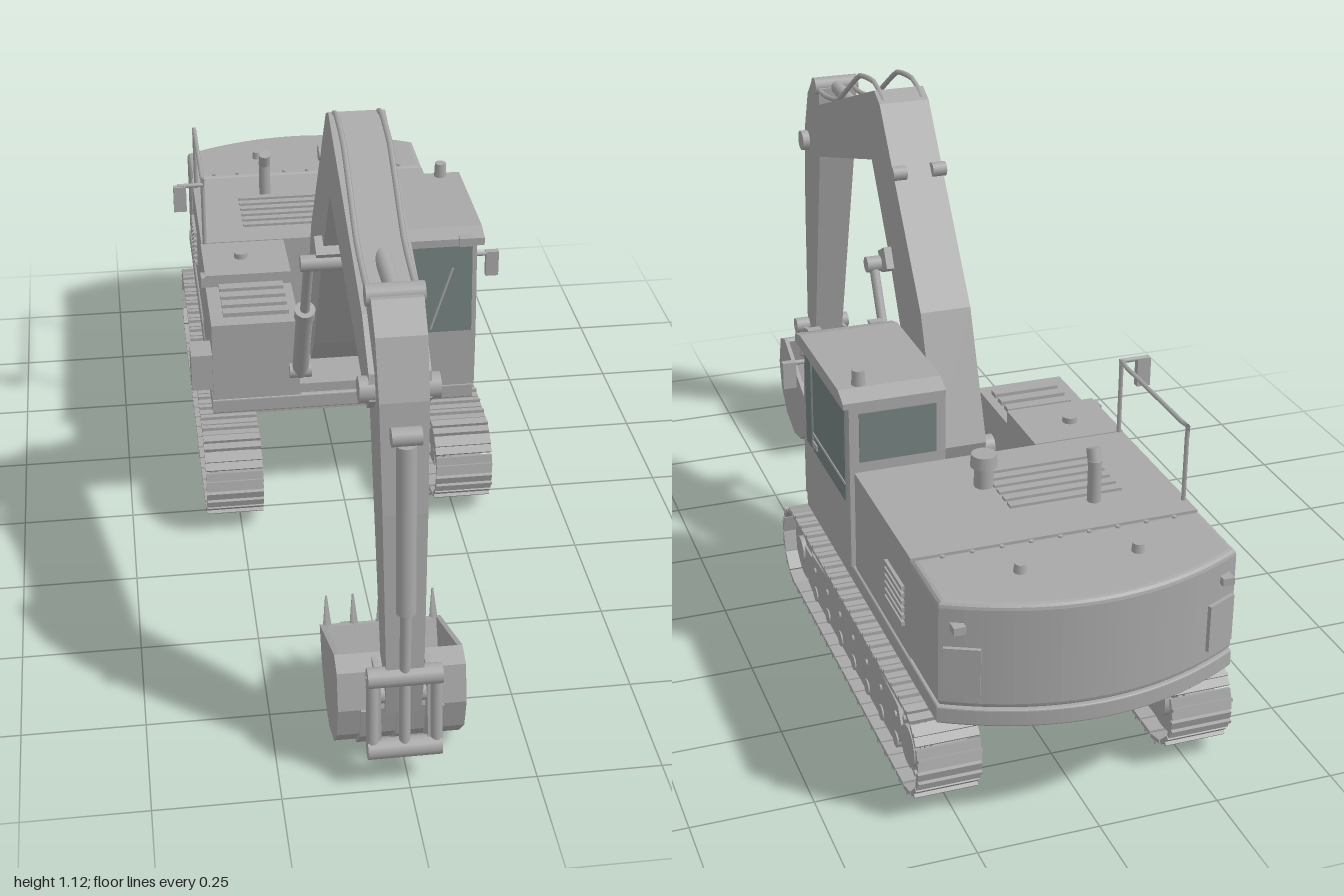
import * as THREE from 'three';
import { mergeGeometries } from 'three/addons/utils/BufferGeometryUtils.js';

const paint = new THREE.MeshStandardMaterial({ color: 0xa8a8a8, side: THREE.DoubleSide });
paint.name = 'greyPaint';
const glass = new THREE.MeshStandardMaterial({ color: 0x74827f });
glass.name = 'glass';
const CX = -0.01; // centre line of the digging arm

export function createModel() {
  const model = new THREE.Group();
  model.name = 'excavator';
  const add = (name, geo, mat = paint) => {
    const m = new THREE.Mesh(geo, mat);
    m.name = name;
    model.add(m);
    return m;
  };
  // Box given by its limits on each axis
  const box = (name, x0, x1, y0, y1, z0, z1, mat) =>
    add(name, new THREE.BoxGeometry(x1 - x0, y1 - y0, Math.abs(z1 - z0))
      .translate((x0 + x1) / 2, (y0 + y1) / 2, (z0 + z1) / 2), mat);
  // Cylinder between two points
  const rod = (name, a, b, r, r2 = r, seg = 16) => {
    const p = new THREE.Vector3(...a), q = new THREE.Vector3(...b);
    const d = q.clone().sub(p);
    const m = add(name, new THREE.CylinderGeometry(r2, r, d.length(), seg));
    m.position.copy(p).add(q).multiplyScalar(0.5);
    m.quaternion.setFromUnitVectors(new THREE.Vector3(0, 1, 0), d.normalize());
    return m;
  };
  const shapeOf = pts => new THREE.Shape(pts.map(p => new THREE.Vector2(...p)));
  // Side profile in (z, y), extruded across x
  const sideGeo = (shape, w, x) =>
    new THREE.ExtrudeGeometry(shape, { depth: w, bevelEnabled: false, curveSegments: 16 })
      .translate(0, 0, -w / 2).rotateY(-Math.PI / 2).translate(x, 0, 0);
  const side = (name, pts, w, x) => add(name, sideGeo(shapeOf(pts), w, x));
  const hose = (name, pts, r = 0.006) => add(name, new THREE.TubeGeometry(
    new THREE.CatmullRomCurve3(pts.map(p => new THREE.Vector3(...p)), false, 'catmullrom', 0.2), 30, r, 6));

  // ---- Tracks ----
  const zf = 0.015, zr = -0.79, cy = 0.12;
  const stadium = (P, r) => {
    P.absarc(zf, cy, r, -Math.PI / 2, Math.PI / 2, false);
    P.absarc(zr, cy, r, Math.PI / 2, Math.PI * 1.5, false);
    P.closePath();
    return P;
  };
  const R = 0.09, L = zf - zr, total = 2 * L + 2 * Math.PI * R, N = 46;
  const onTrack = s => { // position and outward angle along the chain
    if (s < L) return [zf - s, cy + R, Math.PI / 2];
    s -= L;
    if (s < Math.PI * R) {
      const a = Math.PI / 2 + s / R;
      return [zr + R * Math.cos(a), cy + R * Math.sin(a), a];
    }
    s -= Math.PI * R;
    if (s < L) return [zr + s, cy - R, -Math.PI / 2];
    const a = -Math.PI / 2 + (s - L) / R;
    return [zf + R * Math.cos(a), cy + R * Math.sin(a), a];
  };
  for (const s of [-1, 1]) {
    const x = s * 0.265;
    const shoes = [];
    for (let i = 0; i < N; i++) {
      const [z, y, a] = onTrack((i + 0.5) / N * total);
      for (const [h, len, off] of [[0.009, 0.043, 0], [0.012, 0.007, 0.006]]) {
        shoes.push(new THREE.BoxGeometry(0.13, h, len).translate(0, off, 0)
          .rotateX(Math.PI / 2 - a).rotateX(0).translate(x, y, z));
      }
    }
    add('trackShoes', mergeGeometries(shoes));
    const ring = stadium(new THREE.Shape(), 0.087);
    ring.holes.push(stadium(new THREE.Path(), 0.073));
    add('trackChain', sideGeo(ring, 0.06, x));
    side('trackFrame', [[-0.03, 0.06], [-0.07, 0.15], [-0.25, 0.165], [-0.55, 0.165], [-0.7, 0.15], [-0.73, 0.1], [-0.69, 0.05], [-0.08, 0.05]], 0.09, x);
    box('trackYoke', x - 0.045, x + 0.045, 0.1, 0.14, -0.08, 0.015);
    rod('idlerWheel', [x - 0.04, cy, zf], [x + 0.04, cy, zf], 0.072, 0.072, 28);
    rod('idlerHub', [x - 0.05, cy, zf], [x + 0.05, cy, zf], 0.03);
    rod('driveSprocket', [x - 0.04, cy, zr], [x + 0.04, cy, zr], 0.075, 0.075, 28);
    rod('driveHub', [x - 0.055, cy, zr], [x + 0.055, cy, zr], 0.042, 0.042, 20);
    for (let i = 0; i < 14; i++) {
      const a = i / 14 * Math.PI * 2, z = zr + 0.06 * Math.cos(a), y = cy + 0.06 * Math.sin(a);
      rod('sprocketBolt', [x + s * 0.04, y, z], [x + s * 0.046, y, z], 0.006, 0.006, 6);
    }
    for (let i = 0; i < 7; i++) {
      const z = -0.1 - i * 0.098;
      rod('trackRoller', [x - 0.048, 0.065, z], [x + 0.048, 0.065, z], 0.017, 0.017, 12);
      rod('frameBolt', [x - 0.049, 0.125, z], [x + 0.049, 0.125, z], 0.007, 0.007, 6);
    }
    for (const z of [-0.24, -0.53]) rod('carrierRoller', [x - 0.03, 0.18, z], [x + 0.03, 0.18, z], 0.018);
  }
  // ---- Car body and slewing ring ----
  box('carBody', -0.23, 0.23, 0.13, 0.215, -0.56, -0.21);
  rod('slewRing', [0, 0.2, -0.385], [0, 0.255, -0.385], 0.19, 0.19, 40);

  // ---- Upper deck, with a curved rear edge ----
  const plan = (front, w, back, bulge) => {
    const sh = new THREE.Shape();
    sh.moveTo(-w, front); sh.lineTo(w, front); sh.lineTo(w, back);
    sh.quadraticCurveTo(0, bulge, -w, back);
    return sh;
  };
  const planGeo = (sh, y0, y1, bevel) => new THREE.ExtrudeGeometry(sh, {
    depth: y1 - y0 - 2 * bevel, bevelEnabled: bevel > 0, bevelSize: bevel, bevelThickness: bevel,
    bevelOffset: -bevel, bevelSegments: 3, curveSegments: 28,
  }).translate(0, 0, bevel).rotateX(-Math.PI / 2).translate(0, y0, 0);
  add('deck', planGeo(plan(0.02, 0.303, 0.915, 1.085), 0.25, 0.287, 0.004));
  add('counterweight', planGeo(plan(0.752, 0.3, 0.915, 1.08), 0.287, 0.512, 0.012));
  box('engineHood', -0.298, 0.298, 0.285, 0.51, -0.748, -0.382);
  box('tankBox', -0.3, -0.1, 0.285, 0.51, -0.378, -0.21);
  box('toolBox', -0.3, -0.1, 0.285, 0.48, -0.21, -0.022);
  box('boxLip', -0.31, -0.1, 0.48, 0.505, -0.24, -0.21);
  box('boomWell', -0.1, 0.1, 0.285, 0.31, -0.38, -0.03);
  for (let i = 0; i < 4; i++) box('stepTread', -0.27, -0.12, 0.48, 0.49, -0.085 - i * 0.04, -0.06 - i * 0.04);
  box('sideStep', -0.348, -0.3, 0.31, 0.4, -0.1, -0.03);
  for (let i = 0; i < 6; i++) {
    box('hoodSlat', -0.19, 0.05, 0.51, 0.516, -0.625 + i * 0.03, -0.607 + i * 0.03);
    for (const s of [-1, 1]) box('sideLouvre', s * 0.301 - 0.004, s * 0.301 + 0.004, 0.34 + i * 0.016, 0.349 + i * 0.016, -0.71, -0.6);
  }
  for (let i = 0; i < 9; i++) rod('hoodBolt', [-0.24 + i * 0.06, 0.51, -0.765], [-0.24 + i * 0.06, 0.516, -0.765], 0.005, 0.005, 6);
  rod('airIntake', [0.066, 0.51, -0.515], [0.066, 0.56, -0.515], 0.02);
  rod('intakeCap', [0.066, 0.555, -0.515], [0.066, 0.582, -0.515], 0.028, 0.026);
  rod('exhaust', [-0.12, 0.51, -0.645], [-0.12, 0.6, -0.645], 0.014);
  rod('exhaustTip', [-0.12, 0.59, -0.645], [-0.12, 0.622, -0.633], 0.014);
  for (const s of [-1, 1]) {
    rod('liftingEye', [s * 0.12, 0.505, -0.86], [s * 0.12, 0.53, -0.86], 0.014, 0.011, 12);
    const lamp = box('rearPlate', -0.035, 0.035, -0.05, 0.05, -0.004, 0.004);
    lamp.position.set(s * 0.262, 0.37, -0.939);
    lamp.rotation.y = s * -0.44;
    box('rearLight', s * 0.27 - 0.012, s * 0.27 + 0.012, 0.456, 0.472, -0.95, -0.92);
  }
  rod('fuelCap', [-0.21, 0.51, -0.3], [-0.21, 0.523, -0.3], 0.016);
  // Hand rail and mirrors
  hose('handRail', [[-0.29, 0.5, -0.70], [-0.29, 0.67, -0.70], [-0.29, 0.671, -0.69], [-0.29, 0.671, -0.39], [-0.29, 0.67, -0.38], [-0.29, 0.3, -0.38]], 0.005);
  rod('mirrorArm', [-0.29, 0.67, -0.37], [-0.35, 0.67, -0.37], 0.005);
  box('mirror', -0.36, -0.33, 0.607, 0.67, -0.375, -0.36);
  rod('cabMirrorArm', [0.3, 0.615, -0.04], [0.345, 0.615, -0.04], 0.005);
  box('cabMirror', 0.328, 0.357, 0.56, 0.62, -0.05, -0.035);

  // ---- Cab ----
  side('cabBody', [[-0.02, 0.287], [-0.375, 0.287], [-0.375, 0.655], [-0.035, 0.655], [-0.02, 0.43]], 0.207, 0.2025);
  side('cabRoof', [[-0.01, 0.652], [-0.375, 0.652], [-0.375, 0.665], [-0.34, 0.682], [-0.05, 0.682], [-0.01, 0.67]], 0.22, 0.208);
  const pane = box('frontGlass', -0.092, 0.092, -0.105, 0.105, -0.003, 0.003, glass);
  pane.position.set(0.203, 0.537, -0.026);
  pane.rotation.x = -0.066;
  for (const x of [0.099, 0.306]) {
    box('doorGlass', x - 0.003, x + 0.003, 0.43, 0.645, -0.35, -0.11, glass);
    box('quarterGlass', x - 0.003, x + 0.003, 0.43, 0.645, -0.095, -0.05, glass);
    box('windowBar', x - 0.005, x + 0.005, 0.47, 0.476, -0.35, -0.11);
  }
  box('rearGlass', 0.12, 0.285, 0.53, 0.64, -0.378, -0.374, glass);
  box('doorHandle', 0.304, 0.312, 0.445, 0.457, -0.14, -0.11);
  rod('wiper', [0.2, 0.44, -0.018], [0.25, 0.59, -0.026], 0.003, 0.003, 6);
  rod('beacon', [0.27, 0.675, -0.325], [0.27, 0.715, -0.325], 0.015, 0.013);
  for (const x of [0.135, 0.275]) box('roofLight', x - 0.015, x + 0.015, 0.655, 0.675, -0.02, 0.0);

  // ---- Boom ----
  side('boom', [[0.265, 1.11], [0.225, 1.09], [-0.06, 0.70], [-0.17, 0.42], [-0.15, 0.36], [-0.09, 0.34], [-0.02, 0.42],
    [0.16, 0.745], [0.29, 0.94], [0.78, 0.79], [0.84, 0.768], [0.872, 0.80], [0.86, 0.85], [0.77, 0.925]], 0.115, CX);
  rod('boomFootPin', [CX - 0.09, 0.385, -0.12], [CX + 0.09, 0.385, -0.12], 0.025);
  rod('armPin', [CX - 0.075, 0.813, 0.848], [CX + 0.075, 0.813, 0.848], 0.025);
  const boss = box('cylinderBoss', -0.075, 0.075, -0.025, 0.025, -0.025, 0.025);
  boss.position.set(CX, 0.745, 0.16);
  boss.rotation.x = 0.5;
  for (const s of [-1, 1]) {
    const x = CX + s * 0.09;
    rod('boomCylinderPin', [CX, 0.73, 0.18], [x + s * 0.018, 0.73, 0.18], 0.018);
    rod('boomRod', [x, 0.73, 0.18], [x, 0.54, 0.08], 0.011);
    rod('boomBarrel', [x, 0.57, 0.096], [x, 0.35, -0.02], 0.019);
    rod('barrelCollar', [x, 0.575, 0.099], [x, 0.55, 0.086], 0.023);
    rod('barrelPin', [x - 0.025, 0.355, -0.018], [x + 0.025, 0.355, -0.018], 0.018);
    const h = CX + s * 0.045;
    hose('boomHose', [[h, 0.68, -0.06], [h, 0.92, 0.12], [h, 1.02, 0.19], [h, 1.10, 0.245], [h, 1.118, 0.31], [h, 1.10, 0.42], [h, 0.99, 0.6], [h, 0.965, 0.72], [h, 0.965, 0.78]]);
    rod('hoseClamp', [CX + s * 0.03, 0.96, 0.125], [CX + s * 0.062, 0.96, 0.125], 0.016);
  }
  rod('armRod', [CX, 0.97, 0.79], [CX, 0.965, 0.62], 0.016);
  rod('armRodPin', [CX - 0.055, 0.972, 0.785], [CX + 0.055, 0.972, 0.785], 0.021);

  // ---- Stick, narrowing towards the bucket ----
  const stick = sideGeo(shapeOf([[0.82, 0.98], [0.76, 0.97], [0.765, 0.87], [0.78, 0.78], [0.895, 0.25], [0.92, 0.17],
    [0.96, 0.155], [0.975, 0.24], [0.945, 0.6], [0.915, 0.82], [0.87, 0.93]]), 1, 0);
  const sp = stick.attributes.position;
  for (let i = 0; i < sp.count; i++) sp.setX(i, CX + sp.getX(i) * (0.064 + 0.034 * sp.getY(i)));
  stick.computeVertexNormals();
  add('stick', stick);
  rod('bucketBarrel', [CX, 0.75, 0.945], [CX, 0.40, 0.972], 0.019);
  rod('bucketRod', [CX, 0.42, 0.97], [CX, 0.24, 0.97], 0.011);
  rod('bucketBarrelPin', [CX - 0.028, 0.765, 0.94], [CX + 0.028, 0.765, 0.94], 0.018);

  // ---- Bucket and linkage ----
  const outer = [[0.89, 0.25], [0.93, 0.235], [0.95, 0.16], [0.935, 0.09], [0.885, 0.035], [0.81, 0.008], [0.74, 0.022], [0.685, 0.07], [0.65, 0.14]];
  const inner = outer.map(([z, y]) => [0.8 + (z - 0.8) * 0.93, 0.16 + (y - 0.16) * 0.92]).reverse();
  side('bucketShell', [...outer, ...inner], 0.25, CX);
  for (const s of [-1, 1]) {
    side('bucketSide', outer, 0.01, CX + s * 0.12);
    side('bucketEar', [[0.91, 0.255], [0.96, 0.25], [0.975, 0.15], [0.985, 0.08], [0.96, 0.06], [0.92, 0.08]], 0.01, CX + s * 0.05);
    rod('link', [CX + s * 0.062, 0.25, 0.965], [CX + s * 0.062, 0.085, 0.98], 0.012);
  }
  for (const [y, z] of [[0.25, 0.968], [0.088, 0.98]]) rod('linkPin', [CX - 0.072, y, z], [CX + 0.072, y, z], 0.02);
  rod('bucketPin', [CX - 0.07, 0.19, 0.94], [CX + 0.07, 0.19, 0.94], 0.02);
  rod('linkRod', [CX, 0.24, 0.97], [CX, 0.088, 0.982], 0.011);
  for (let i = 0; i < 5; i++) {
    const x = CX - 0.11 + i * 0.055;
    rod('tooth', [x, 0.11, 0.662], [x, 0.2, 0.635], 0.012, 0.002, 4);
  }
  for (const dx of [-0.07, 0, 0.07]) {
    const strap = outer.slice(2);
    const grown = strap.map(([z, y]) => [0.8 + (z - 0.8) * 1.04, Math.max(0, 0.16 + (y - 0.16) * 1.05)]);
    side('bucketStrap', [...grown, ...strap.slice().reverse()], 0.022, CX + dx);
  }
  return model;
}
